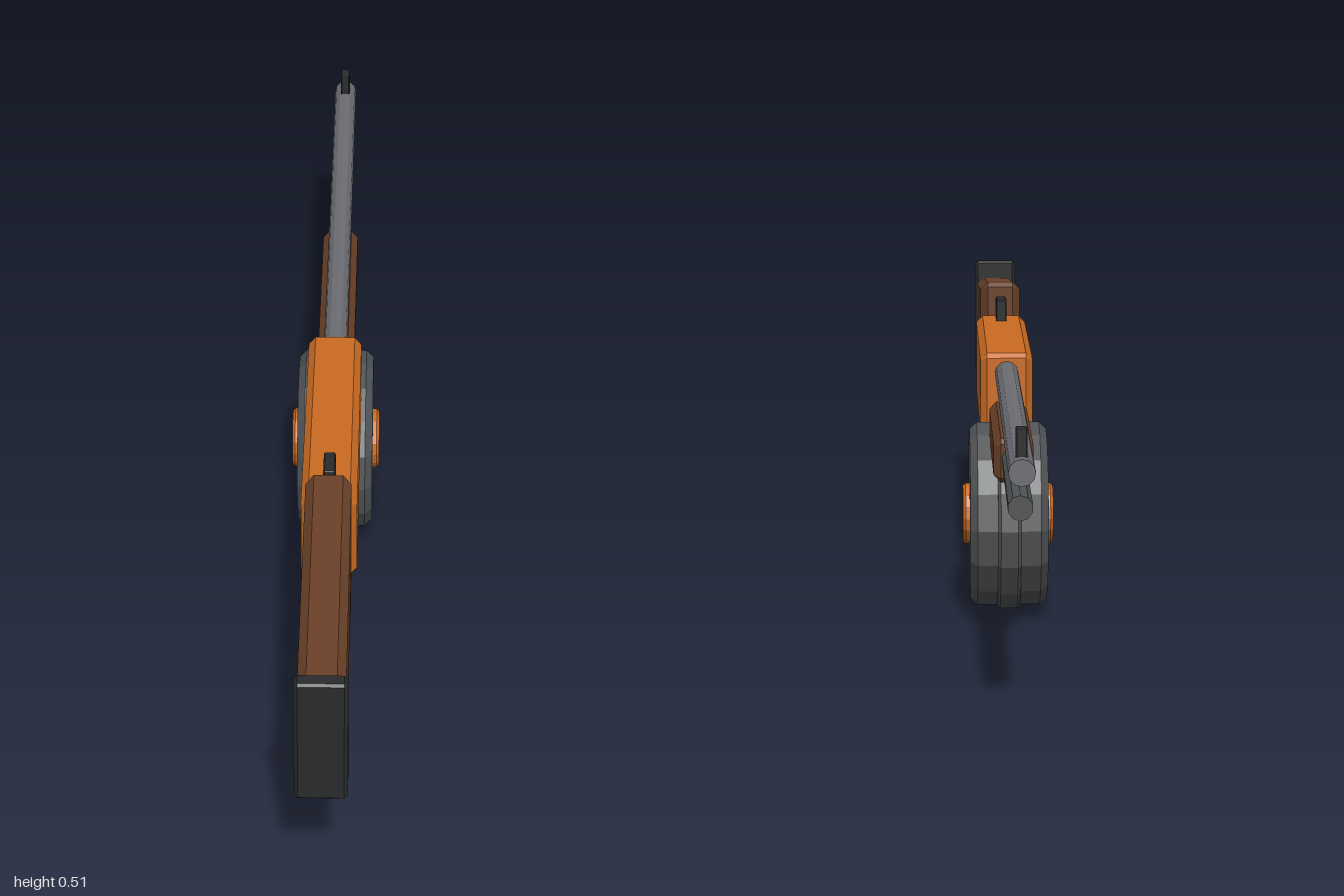
import * as THREE from 'three';

const material = (color) => new THREE.MeshStandardMaterial({ color, flatShading: true });

export function createModel() {
  const group = new THREE.Group();
  const darkWood = material(0x6a4028);
  const paleWood = material(0xcc6b22);
  const steel = material(0x6c6e73);
  const gunmetal = material(0x515456);
  const black = material(0x2a2b2c);

  function add(name, geometry, mat) {
    const mesh = new THREE.Mesh(geometry, mat);
    mesh.name = name;
    group.add(mesh);
    return mesh;
  }

  // Side profile of [z, y] corners, chamfered and extruded across x
  function slab(name, corners, halfWidth, bevel, mat) {
    const shape = new THREE.Shape();
    const n = corners.length;
    const pts = corners.map(([z, y]) => new THREE.Vector2(z, y));
    pts.forEach((p, i) => {
      for (const q of [pts[(i + n - 1) % n], pts[(i + 1) % n]]) {
        const c = q.clone().sub(p).setLength(bevel * 0.7).add(p);
        if (shape.curves.length || shape.started) shape.lineTo(c.x, c.y);
        else { shape.moveTo(c.x, c.y); shape.started = true; }
      }
    });
    const depth = 2 * (halfWidth - bevel);
    const geometry = new THREE.ExtrudeGeometry(shape, {
      depth, bevelEnabled: true, bevelSegments: 1,
      bevelThickness: bevel, bevelSize: bevel, bevelOffset: -bevel,
    });
    geometry.translate(0, 0, -depth / 2).rotateY(-Math.PI / 2);
    return add(name, geometry, mat);
  }

  const rect = (z0, z1, y0, y1) => [[z0, y0], [z1, y0], [z1, y1], [z0, y1]];

  // Tube lying along z
  function pipe(name, radius, y, z0, z1, sides, mat) {
    const geometry = new THREE.CylinderGeometry(radius, radius, z1 - z0, sides);
    geometry.rotateX(Math.PI / 2).translate(0, y, (z0 + z1) / 2);
    return add(name, geometry, mat);
  }

  // Chamfered disc with its axis along x
  function disc(name, radius, halfWidth, bevel, mat) {
    const profile = [
      [0, -halfWidth], [radius - bevel, -halfWidth], [radius, bevel - halfWidth],
      [radius, halfWidth - bevel], [radius - bevel, halfWidth], [0, halfWidth],
    ].map(([r, h]) => new THREE.Vector2(r, h));
    const geometry = new THREE.LatheGeometry(profile, 16);
    geometry.rotateZ(Math.PI / 2).translate(0, 0.172, -0.11);
    return add(name, geometry, mat);
  }

  // Stock and butt plate
  slab('stock', [[0.472, 0.306], [0.972, 0.246], [0.972, 0.457], [0.472, 0.512]], 0.038, 0.014, darkWood);
  slab('buttPlate', rect(0.972, 1, 0.262, 0.492), 0.042, 0.006, black);

  // Receiver and grip
  slab('receiver', rect(-0.036, 0.468, 0.288, 0.448), 0.047, 0.012, paleWood);
  slab('grip', [[0.292, 0.1], [0.388, 0.1], [0.338, 0.295], [0.254, 0.295]], 0.035, 0.01, gunmetal);
  slab('triggerBlock', rect(0.356, 0.432, 0.234, 0.292), 0.033, 0.006, gunmetal);

  // Barrel, lower tube and forend
  pipe('barrel', 0.021, 0.413, -1, -0.02, 12, steel);
  pipe('lowerTube', 0.02, 0.343, -0.92, -0.02, 10, gunmetal);
  slab('forend', rect(-0.515, -0.13, 0.304, 0.378), 0.033, 0.012, darkWood);

  // Drum magazine with a raised centre band and hub caps
  disc('drum', 0.165, 0.068, 0.013, gunmetal);
  disc('drumBand', 0.172, 0.02, 0.005, gunmetal);
  disc('drumHub', 0.055, 0.08, 0.005, paleWood);

  // Sights
  slab('rearSight', rect(0.384, 0.44, 0.44, 0.488), 0.01, 0.002, black);
  slab('frontSight', rect(-0.974, -0.95, 0.425, 0.476), 0.009, 0.002, black);

  return group;
}
